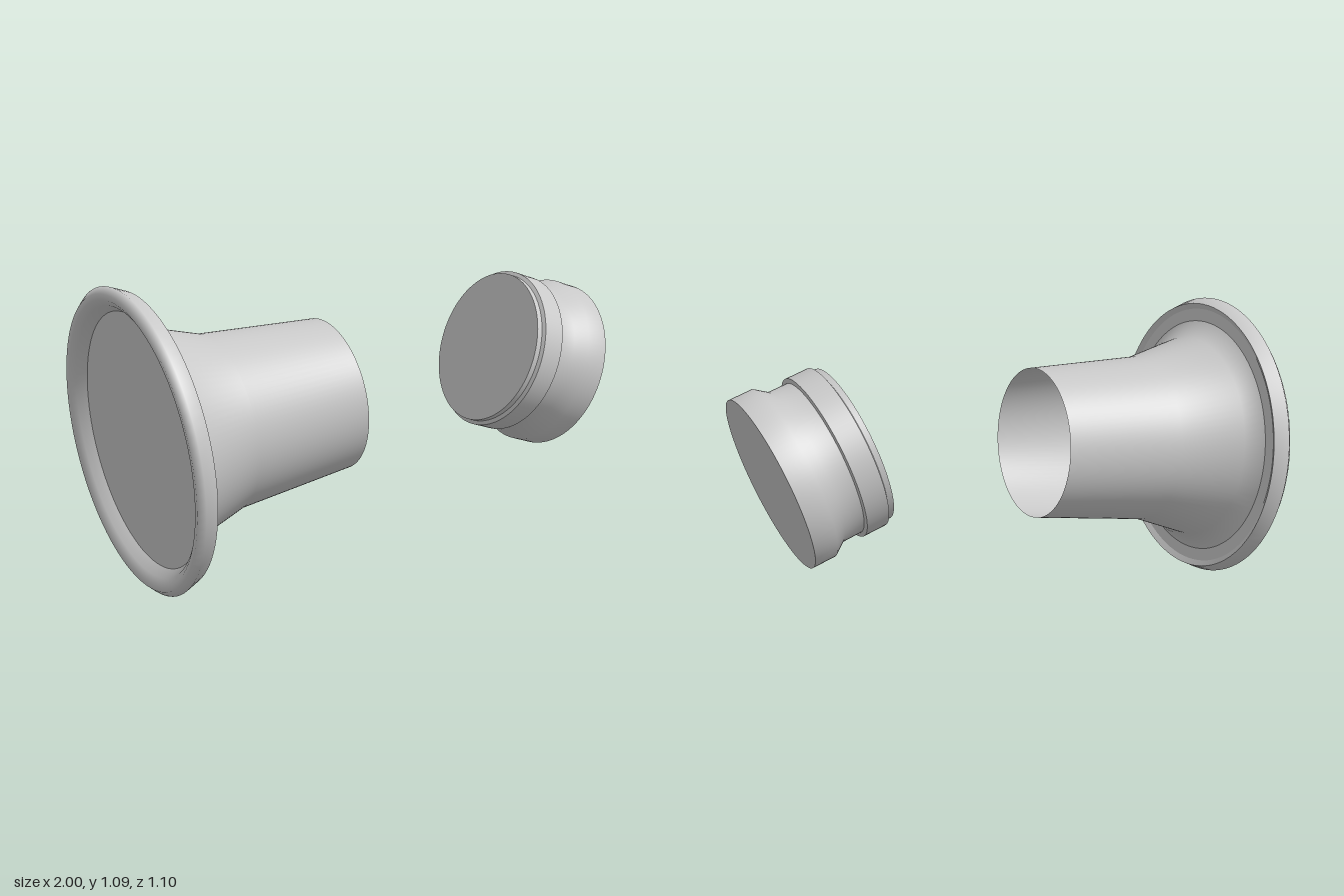
import * as THREE from 'three';

const DEG = Math.PI / 180;
const SEGMENTS = 96;

export function createModel() {
  const model = new THREE.Group();
  model.name = 'flaredHornAndCap';
  const grey = new THREE.MeshStandardMaterial({ color: 0xc8c8c8, side: THREE.DoubleSide });
  grey.name = 'light grey';

  // Turned section: profile points are [distance along axis, radius]; separate sections keep creases sharp
  const turned = (parent, name, profile) => {
    const points = profile.map(([s, r]) => new THREE.Vector2(r, s));
    const mesh = new THREE.Mesh(new THREE.LatheGeometry(points, SEGMENTS), grey);
    mesh.name = name;
    parent.add(mesh);
  };

  // Group whose local y runs along an axis tilted upward from +x
  const axisGroup = (name, x, y, tilt) => {
    const group = new THREE.Group();
    group.name = name;
    group.position.set(x, y, 0);
    group.rotation.z = (tilt - 90) * DEG;
    model.add(group);
    return group;
  };

  // Flared horn with a dished rim at the wide end, open at the narrow end
  const horn = axisGroup('horn', -0.94, 0.545, 5.8);
  turned(horn, 'backDisc', [[0.045, 0], [0.045, 0.457]]);
  turned(horn, 'rimOuter', [
    [0.045, 0.457], [0.012, 0.482], [-0.004, 0.505], [-0.007, 0.526],
    [0.015, 0.548], [0.068, 0.526],
  ]);
  turned(horn, 'rimInnerWall', [[0.068, 0.526], [0.055, 0.505]]);
  turned(horn, 'rimLedge', [[0.055, 0.505], [0.055, 0.457]]);
  turned(horn, 'hornBody', [
    [0.055, 0.457], [0.104, 0.394], [0.334, 0.32], [0.8, 0.284],
  ]);

  // Separate closed cap, measured back from its wide face
  const cap = axisGroup('cap', 0.8975, 0.625, -18.3);
  turned(cap, 'capInnerFace', [[-0.328, 0], [-0.328, 0.295]]);
  turned(cap, 'capSpigot', [[-0.328, 0.295], [-0.306, 0.295]]);
  turned(cap, 'capShoulder', [[-0.306, 0.295], [-0.3, 0.31]]);
  turned(cap, 'capCollar', [[-0.3, 0.31], [-0.213, 0.31]]);
  turned(cap, 'capCollarStep', [[-0.213, 0.31], [-0.21, 0.293]]);
  turned(cap, 'capNeckAndHead', [
    [-0.21, 0.293], [-0.134, 0.294], [-0.088, 0.327], [0, 0.327],
  ]);
  turned(cap, 'capOuterFace', [[0, 0.327], [0, 0]]);

  return model;
}
